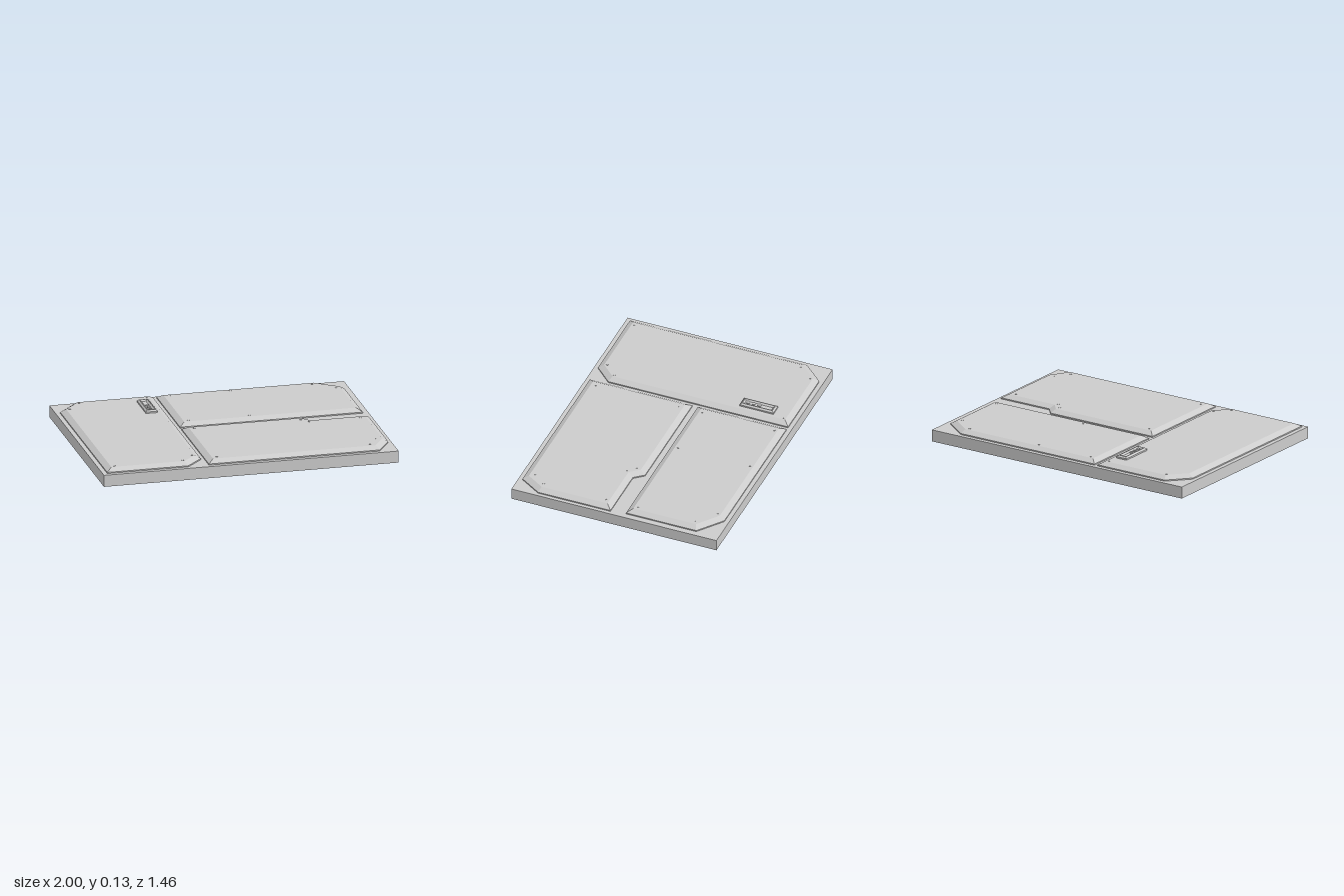
import * as THREE from 'three';

const material = new THREE.MeshStandardMaterial({ color: 0xcccccc, flatShading: true });
const BASE_TOP = 0.08;
const PANEL_TOP = 0.11;

function addMesh(parent, name, geometry, x = 0, y = 0, z = 0) {
  const mesh = new THREE.Mesh(geometry, material);
  mesh.name = name;
  mesh.position.set(x, y, z);
  parent.add(mesh);
  return mesh;
}

// Plan points are [x, z]; the shape is laid flat with its depth pointing up.
const toPlan = (points) => points.map(([x, z]) => new THREE.Vector2(x, -z));

// Slab with a vertical lip up to lipY, then a sloped edge up to topY.
// Its lower bevel is sunk into the part beneath.
function bevelledSlab(outline, lipY, topY, inset, hole) {
  const shape = new THREE.Shape(toPlan(outline));
  if (hole) shape.holes.push(new THREE.Path(toPlan(hole)));
  const depth = 0.02;
  const geometry = new THREE.ExtrudeGeometry(shape, {
    depth, bevelEnabled: true, bevelSegments: 1,
    bevelThickness: topY - lipY, bevelSize: inset, bevelOffset: -inset,
  });
  geometry.rotateX(-Math.PI / 2);
  geometry.translate(0, lipY - depth, 0);
  return geometry;
}

const rectangle = (x, z, hw, hd) => [[x - hw, z - hd], [x - hw, z + hd], [x + hw, z + hd], [x + hw, z - hd]];

const panels = [
  {
    name: 'leftHandPanel',
    outline: [[-0.97, -0.56], [-0.97, 0.70], [-0.42, 0.70], [-0.305, 0.58], [-0.305, -0.70], [-0.84, -0.70]],
    screws: [[-0.91, -0.54], [-0.82, -0.645], [-0.36, -0.645], [-0.91, 0.645], [-0.445, 0.645], [-0.36, 0.56]],
  },
  {
    name: 'backPanel',
    outline: [[-0.28, -0.70], [-0.28, -0.07], [0.96, -0.07], [0.96, -0.57], [0.79, -0.70]],
    screws: [[-0.21, -0.64], [0.205, -0.64], [0.76, -0.64], [0.895, -0.53], [0.895, -0.13], [0.205, -0.13], [-0.21, -0.13]],
  },
  {
    name: 'frontPanel',
    outline: [[-0.28, -0.03], [-0.28, 0.70], [0.88, 0.70], [0.975, 0.55], [0.975, 0.035], [0.59, 0.035], [0.535, -0.03]],
    screws: [[-0.21, 0.035], [-0.21, 0.63], [0.83, 0.63], [0.9, 0.54], [0.9, 0.1], [0.557, 0.09], [0.51, 0.04]],
  },
];

export function createModel() {
  const model = new THREE.Group();
  model.name = 'wallPanel';

  addMesh(model, 'basePlate', new THREE.BoxGeometry(2, BASE_TOP, 1.46), 0, BASE_TOP / 2, 0);

  // Raised panels with their screws
  const screwGeometry = new THREE.CylinderGeometry(0.008, 0.008, 0.004, 10);
  for (const { name, outline, screws } of panels) {
    const panel = new THREE.Group();
    panel.name = name;
    model.add(panel);
    addMesh(panel, 'plate', bevelledSlab(outline, 0.088, PANEL_TOP, 0.037));
    for (const [x, z] of screws) addMesh(panel, 'screw', screwGeometry, x, PANEL_TOP, z);
  }

  // Small control box: sloped frame, sunken floor and three buttons
  const control = new THREE.Group();
  control.name = 'controlBox';
  model.add(control);
  const [cx, cz] = [-0.406, -0.45];
  addMesh(control, 'frame', bevelledSlab(
    rectangle(cx, cz, 0.04, 0.12), 0.12, 0.13, 0.011, rectangle(cx, cz, 0.014, 0.095)));
  addMesh(control, 'floor', new THREE.BoxGeometry(0.03, 0.01, 0.192), cx, 0.115, cz);
  const buttonGeometry = new THREE.CylinderGeometry(0.012, 0.012, 0.008, 16);
  for (let i = 0; i < 3; i++) addMesh(control, 'button', buttonGeometry, cx, 0.122, -0.455 + i * 0.04);

  return model;
}
